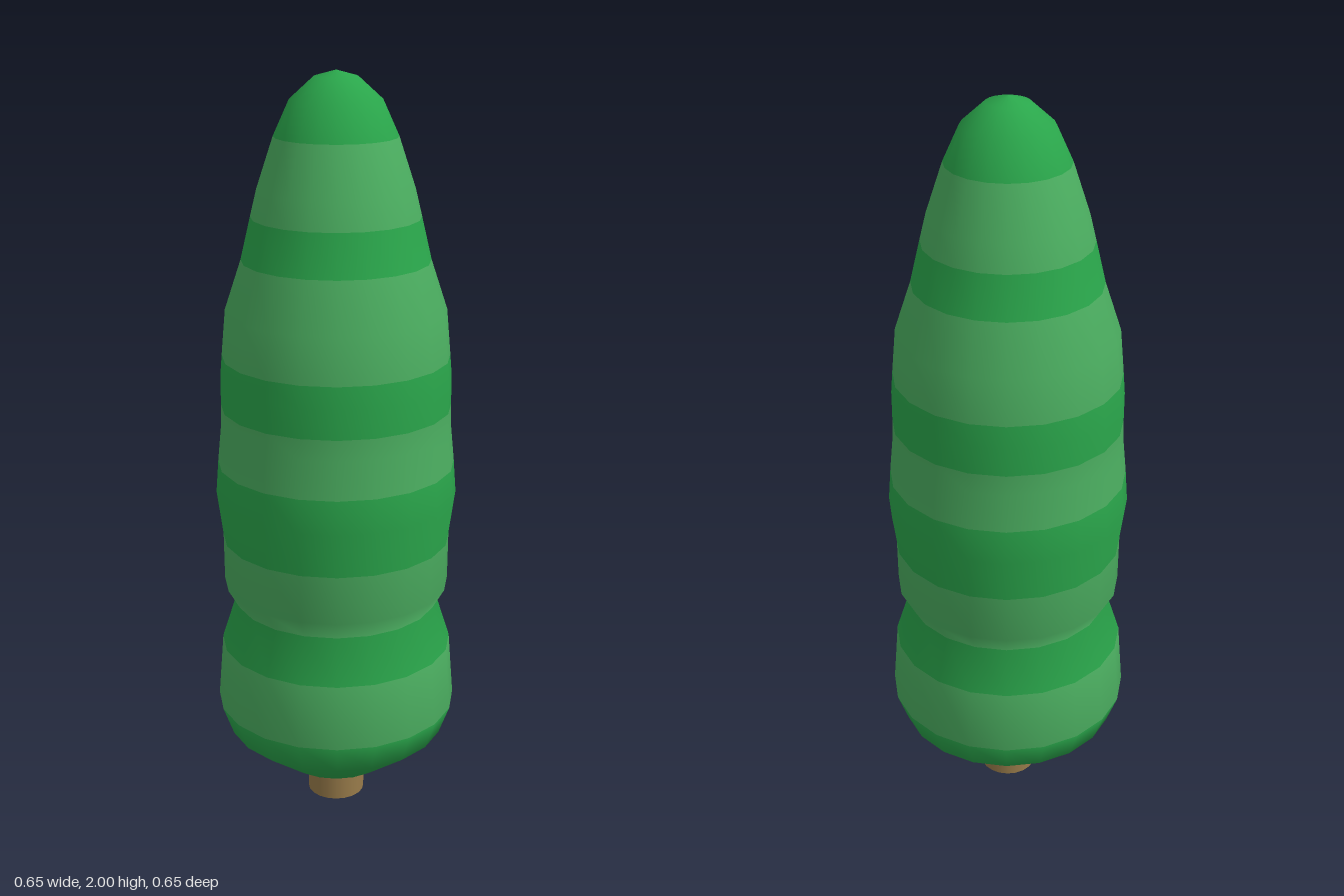
import * as THREE from 'three';

const SIDES = 20;

// Bands of foliage from bottom to top, each a list of [radius, height];
// the last point of a band is the first of the next.
const BANDS = [
  [[0, 0.09], [0.07, 0.094], [0.15, 0.108], [0.297, 0.22], [0.326, 0.3]],
  [[0.312, 0.475]],
  [[0.273, 0.597]],
  [[0.303, 0.65], [0.304, 0.78]],
  [[0.32, 0.9], [0.313, 0.99]],
  [[0.303, 1.09], [0.302, 1.145]],
  [[0.302, 1.22], [0.297, 1.28]],
  [[0.286, 1.4], [0.243, 1.53]],
  [[0.217, 1.64]],
  [[0.2, 1.71], [0.157, 1.84]],
  [[0.116, 1.93], [0.055, 1.985], [0, 2]],
];

// Keep only the rings from..to of a full lathe, so normals stay smooth across bands.
function sliceLathe(full, rings, from, to) {
  const index = [];
  for (let i = 0; i < SIDES; i++) {
    for (let j = from; j < to; j++) {
      const a = i * rings + j, b = a + rings;
      index.push(a, b, a + 1, b + 1, a + 1, b);
    }
  }
  const slice = full.clone();
  slice.setIndex(index);
  return slice.toNonIndexed();
}

export function createModel() {
  const group = new THREE.Group();
  group.name = 'tree';
  const dark = new THREE.MeshStandardMaterial({ color: 0x2aa64b });
  const light = new THREE.MeshStandardMaterial({ color: 0x4bae60 });
  const wood = new THREE.MeshStandardMaterial({ color: 0x987b4a });

  // Trunk
  const trunk = new THREE.Mesh(new THREE.CylinderGeometry(0.078, 0.078, 0.12, SIDES), wood);
  trunk.position.y = 0.06;
  trunk.name = 'trunk';
  group.add(trunk);

  // Foliage, in alternating dark and light bands
  const profile = BANDS.flat().map(([r, y]) => new THREE.Vector2(r, y));
  const full = new THREE.LatheGeometry(profile, SIDES);
  let from = 0, to = -1;
  BANDS.forEach((band, k) => {
    to += band.length;
    const mesh = new THREE.Mesh(sliceLathe(full, profile.length, from, to), k % 2 ? light : dark);
    mesh.name = `foliageBand${k + 1}`;
    group.add(mesh);
    from = to;
  });
  return group;
}
